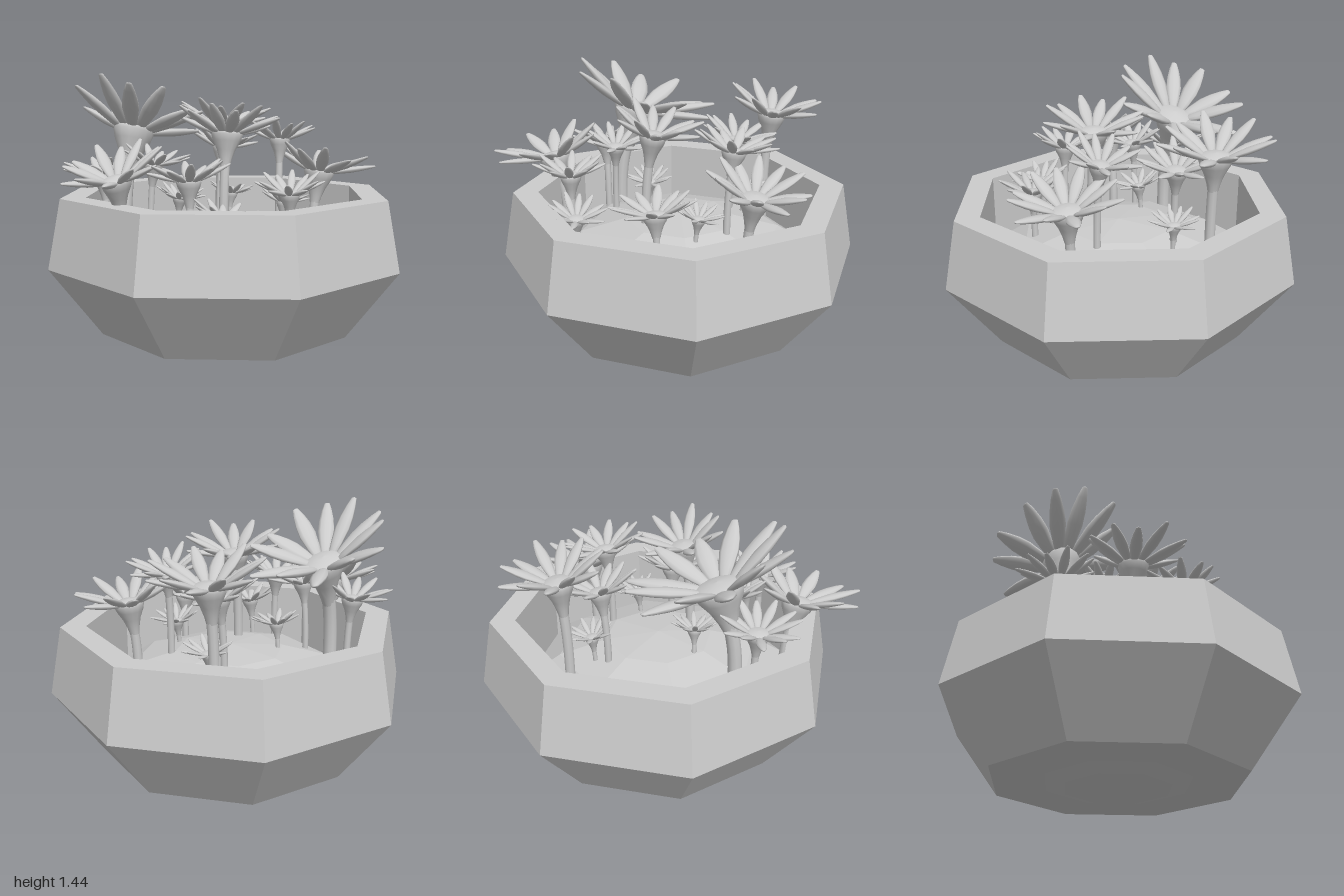
import * as THREE from 'three';

const lathe = (pts, sides) => new THREE.LatheGeometry(pts.map(([x, y]) => new THREE.Vector2(x, y)), sides);

// Each flower: disc centre x, y, z, petal spread in x and z, lean in x and z
const FLOWERS = [
  [-0.45, 1.14, 0.20, 0.32, 0.41, 0.0, -0.30],
  [-0.27, 1.14, -0.56, 0.28, 0.25, 0.02, -0.1],
  [0.08, 1.13, 0.13, 0.27, 0.23, 0.0, -0.15],
  [0.43, 0.90, -0.36, 0.27, 0.25, 0.1, -0.12],
  [0.22, 1.08, -0.28, 0.18, 0.21, -0.03, -0.12],
  [0.44, 0.83, 0.14, 0.16, 0.21, 0.02, 0.05],
  [0.08, 0.92, 0.57, 0.2, 0.18, -0.04, 0.0],
  [0.25, 0.74, 0.54, 0.16, 0.15, 0.1, -0.05],
  [-0.26, 0.92, 0.68, 0.22, 0.29, 0.0, 0.22],
  [-0.53, 0.91, 0.39, 0.19, 0.2, -0.08, 0.03],
  [-0.17, 1.02, -0.35, 0.19, 0.2, 0.05, -0.12],
  [-0.25, 0.97, 0.33, 0.17, 0.17, 0.1, -0.03],
  [0.32, 0.75, -0.09, 0.13, 0.12, 0.05, -0.12],
  [-0.20, 0.77, 0.14, 0.13, 0.12, 0.12, 0.02],
  [-0.14, 0.74, -0.40, 0.13, 0.12, 0.02, -0.1],
];
const PETALS = 12;

export function createModel() {
  const model = new THREE.Group();
  const flat = new THREE.MeshStandardMaterial({ color: 0xcccccc, flatShading: true });
  const smooth = new THREE.MeshStandardMaterial({ color: 0xcccccc, side: THREE.DoubleSide });
  const add = (parent, name, geometry, material) => {
    const mesh = new THREE.Mesh(geometry, material);
    mesh.name = name;
    parent.add(mesh);
    return mesh;
  };

  // Eight-sided pot with a thick rim and a straight-walled hollow
  const pot = add(model, 'pot', lathe([
    [0, 0.055], [0.7, 0.055], [0.98, 0.43], [0.91, 0.8], [0.775, 0.8], [0.775, 0.32], [0, 0.32],
  ], 8), flat);
  pot.position.z = -0.02;

  // Faceted mound of soil, just showing through the pot's underside
  const soil = add(model, 'soil', new THREE.SphereGeometry(1, 8, 8), flat);
  soil.scale.set(0.78, 0.33, 0.78);
  soil.position.set(0, 0.33, -0.02);

  // Unit flower parts, sized for a petal spread of 1
  const petalShape = lathe([
    [0, 0], [0.06, 0], [0.1, 0.2], [0.132, 0.45], [0.12, 0.65], [0.085, 0.84], [0.045, 0.98], [0, 1],
  ], 10).scale(1, 1, 0.45);
  const cupShape = lathe([
    [0.1, -0.64], [0.13, -0.5], [0.19, -0.32], [0.28, -0.15], [0.32, -0.03], [0.3, 0.02],
  ], 14);
  const discShape = lathe([[0.305, 0.015], [0.22, 0.05], [0.1, 0.07], [0, 0.08]], 14);

  FLOWERS.forEach(([x, y, z, spreadX, spreadZ, leanX, leanZ], i) => {
    const flower = new THREE.Group();
    flower.name = 'flower' + (i + 1);
    model.add(flower);
    const spread = (spreadX + spreadZ) / 2;
    const axis = new THREE.Vector3(leanX, 1, leanZ).normalize();
    const centre = new THREE.Vector3(x, y, z);

    // Head leans along its axis and is a little oval
    const head = new THREE.Group();
    head.name = 'flowerHead';
    head.position.copy(centre);
    head.quaternion.setFromUnitVectors(new THREE.Vector3(0, 1, 0), axis);
    head.scale.set(spreadX, spread * 1.08, spreadZ);
    flower.add(head);
    add(head, 'cup', cupShape, smooth);
    add(head, 'disc', discShape, smooth);

    // Ring of petals, a little steeper on the raised side
    const raised = Math.atan2(-leanX, -leanZ);
    for (let k = 0; k < PETALS; k++) {
      const turn = (k / PETALS) * Math.PI * 2;
      const a = raised + turn;
      const rise = 0.43 + 0.09 * Math.cos(turn) + (k % 2 ? -0.08 : 0.08);
      const petal = add(head, 'petal', petalShape, smooth);
      petal.position.set(0.2 * Math.sin(a), -0.01, 0.2 * Math.cos(a));
      petal.rotation.set(Math.PI / 2 - rise, a, 0, 'YXZ');
      petal.scale.y = 0.93 - 0.03 * Math.cos(turn) + 0.04 * Math.sin(k * 1.7 + i * 2);
    }

    // Stem curves from the soil up into the cup
    const top = centre.clone().addScaledVector(axis, -0.62 * spread);
    const base = new THREE.Vector3(top.x - leanX * 0.1, 0.42, top.z - leanZ * 0.1);
    const bend = top.clone().addScaledVector(axis, -0.4 * (top.y - base.y));
    const path = new THREE.QuadraticBezierCurve3(base, bend, top);
    add(flower, 'stem', new THREE.TubeGeometry(path, 8, 0.1 * spread, 10), smooth);
  });

  return model;
}
